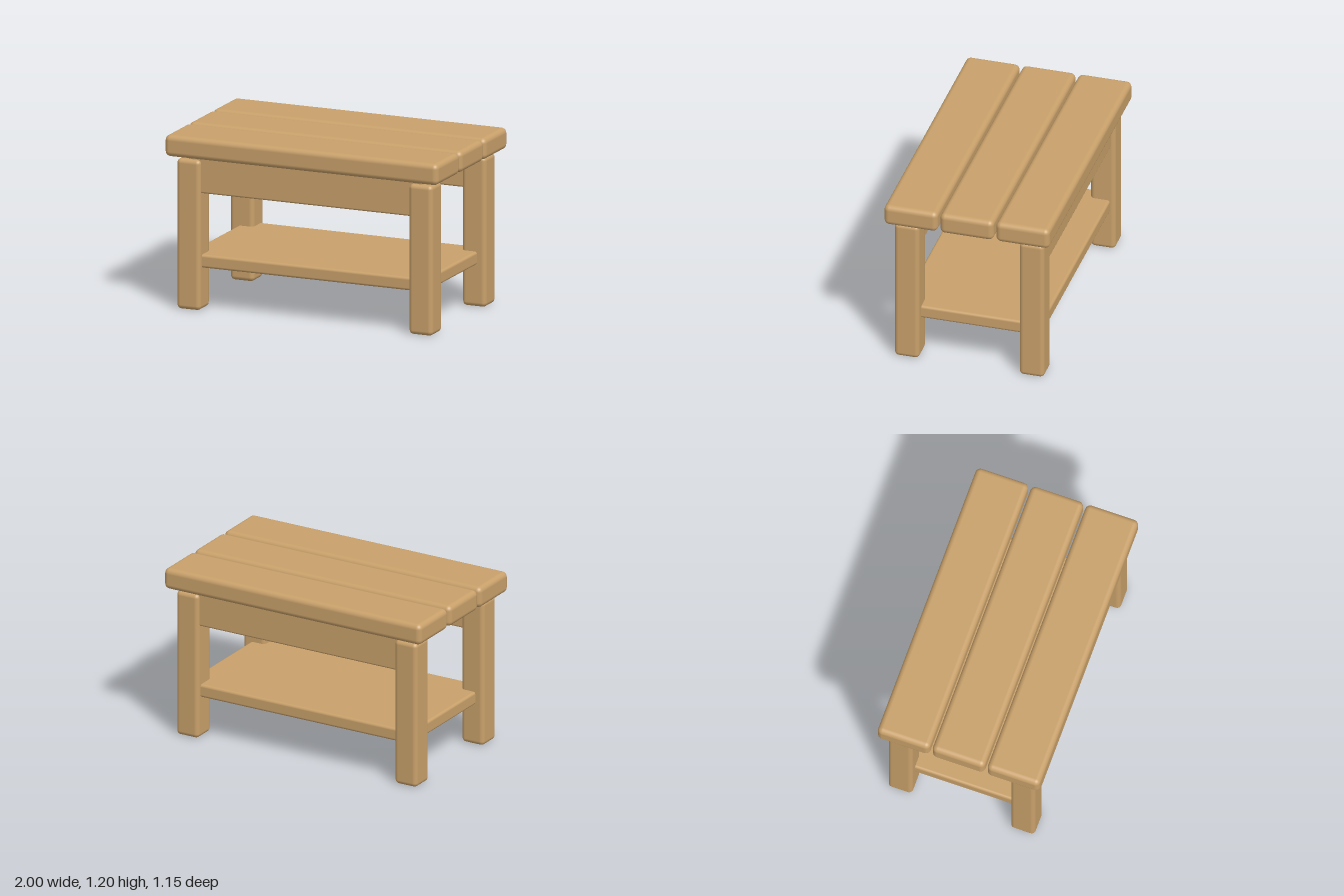
import * as THREE from 'three';
import { RoundedBoxGeometry } from 'three/addons/geometries/RoundedBoxGeometry.js';

export function createModel() {
  const model = new THREE.Group();
  model.name = 'slattedTable';
  const wood = new THREE.MeshStandardMaterial({ color: 0xc8a06a });
  wood.name = 'wood';

  // Softened timber board between two opposite corners
  function board(name, [x0, y0, z0], [x1, y1, z1], radius) {
    const geometry = new RoundedBoxGeometry(x1 - x0, y1 - y0, z1 - z0, 4, radius);
    const mesh = new THREE.Mesh(geometry, wood);
    mesh.name = name;
    mesh.position.set((x0 + x1) / 2, (y0 + y1) / 2, (z0 + z1) / 2);
    model.add(mesh);
  }

  // Three top planks with narrow gaps
  const planks = [['backPlank', -0.575], ['middlePlank', -0.186], ['frontPlank', 0.203]];
  for (const [name, z] of planks) {
    board(name, [-1, 1.053, z], [1, 1.2, z + 0.372], 0.036);
  }

  // Square legs at the four corners
  for (const sx of [-1, 1]) {
    for (const sz of [-1, 1]) {
      const x = sx * 0.85, z = sz * 0.434;
      const name = (sz > 0 ? 'front' : 'back') + (sx > 0 ? 'Left' : 'Right') + 'Leg';
      board(name, [x - 0.086, 0, z - 0.086], [x + 0.086, 1.034, z + 0.086], 0.03);
    }
  }

  // Long aprons joining the legs to the top
  for (const [name, z] of [['frontApron', 0.436], ['backApron', -0.436]]) {
    board(name, [-0.86, 0.805, z - 0.058], [0.86, 1.065, z + 0.058], 0.014);
  }

  // Low shelf let into the legs
  board('shelf', [-0.876, 0.29, -0.485], [0.876, 0.381, 0.485], 0.018);

  return model;
}
